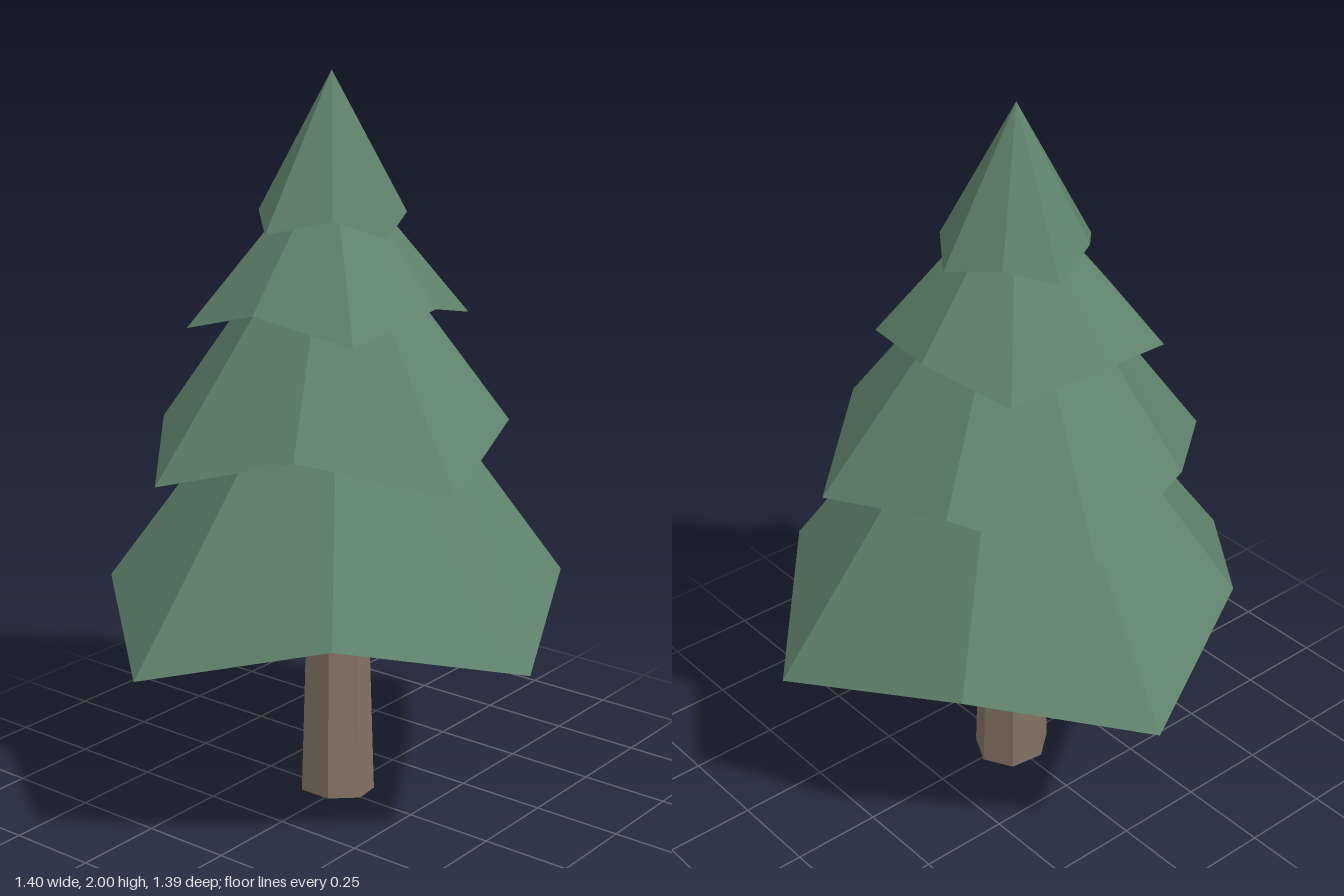
import * as THREE from 'three';

const leaf = new THREE.MeshStandardMaterial({ color: 0x60826b, flatShading: true });
leaf.name = 'pine green';
const bark = new THREE.MeshStandardMaterial({ color: 0x827262, flatShading: true });
bark.name = 'bark brown';

// One skirt of branches: a jagged rim of alternating low tips and raised notches, starting with
// a tip, that rises to a small ring (or to a point when topR is 0)
function makeTier(name, rim, topY, topR, cx, cz) {
  const pos = [];
  const n = rim.length;
  const tri = (...pts) => pts.forEach((p) => pos.push(...p));
  const upper = rim.map(([x, , z]) => {
    const a = Math.atan2(z - cz, x - cx);
    return [cx + topR * Math.cos(a), topY, cz + topR * Math.sin(a)];
  });
  // sloping sides
  for (let i = 0; i < n; i++) {
    const j = (i + 1) % n;
    tri(rim[j], rim[i], upper[i]);
    if (topR > 0) tri(rim[j], upper[i], upper[j]);
  }
  // underside: nearly level between the notches, with each tip folding down
  const notches = rim.filter((p, i) => i % 2 === 1);
  const mid = [cx, notches.reduce((s, p) => s + p[1], 0) / notches.length, cz];
  for (let i = 0; i < n; i += 2) {
    const before = rim[(i + n - 1) % n];
    tri(before, rim[i], rim[i + 1]);
    tri(mid, before, rim[i + 1]);
  }
  const geo = new THREE.BufferGeometry();
  geo.setAttribute('position', new THREE.Float32BufferAttribute(pos, 3));
  geo.computeVertexNormals();
  const mesh = new THREE.Mesh(geo, leaf);
  mesh.name = name;
  return mesh;
}

export function createModel() {
  const tree = new THREE.Group();
  tree.name = 'pineTree';

  // Seven-sided tapering trunk, its foot slightly uneven
  const trunkGeo = new THREE.CylinderGeometry(0.074, 0.106, 1, 7, 1, false, Math.PI / 2);
  trunkGeo.translate(0, 0.5, -0.01);
  const p = trunkGeo.attributes.position;
  for (let i = 0; i < p.count; i++) {
    if (p.getY(i) < 0.5) p.setY(i, 0.01 - 0.1 * p.getX(i));
  }
  const trunk = new THREE.Mesh(trunkGeo, bark);
  trunk.name = 'trunk';
  tree.add(trunk);

  // Rims run clockwise seen from above, starting near the back
  tree.add(makeTier('bottomBranches', [
    [0.09, 0.51, -0.70], [0.48, 0.62, -0.38], [0.70, 0.52, 0.10], [0.37, 0.66, 0.475],
    [-0.11, 0.56, 0.695], [-0.49, 0.66, 0.365], [-0.70, 0.53, -0.105], [-0.38, 0.64, -0.49],
  ], 1.15, 0.245, 0, 0));

  tree.add(makeTier('lowerMiddleBranches', [
    [0.18, 0.985, -0.545], [0.425, 1.09, -0.26], [0.525, 1.01, 0.125], [0.22, 1.10, 0.395],
    [-0.16, 1.0, 0.495], [-0.415, 1.09, 0.185], [-0.515, 0.98, -0.19], [-0.21, 1.06, -0.44],
  ], 1.45, 0.2, 0, -0.02));

  tree.add(makeTier('upperMiddleBranches', [
    [0.24, 1.35, -0.29], [0.32, 1.40, -0.04], [0.255, 1.36, 0.235], [0.01, 1.42, 0.305],
    [-0.26, 1.36, 0.25], [-0.325, 1.415, -0.02], [-0.285, 1.34, -0.28], [-0.02, 1.40, -0.355],
  ], 1.68, 0.1, -0.005, -0.02));

  tree.add(makeTier('treetop', [
    [0.025, 1.59, -0.225], [0.14, 1.635, -0.14], [0.21, 1.60, 0.005], [0.12, 1.635, 0.13],
    [-0.03, 1.59, 0.18], [-0.14, 1.64, 0.09], [-0.22, 1.60, -0.065], [-0.115, 1.64, -0.175],
  ], 2.0, 0, -0.005, -0.02));

  return tree;
}
